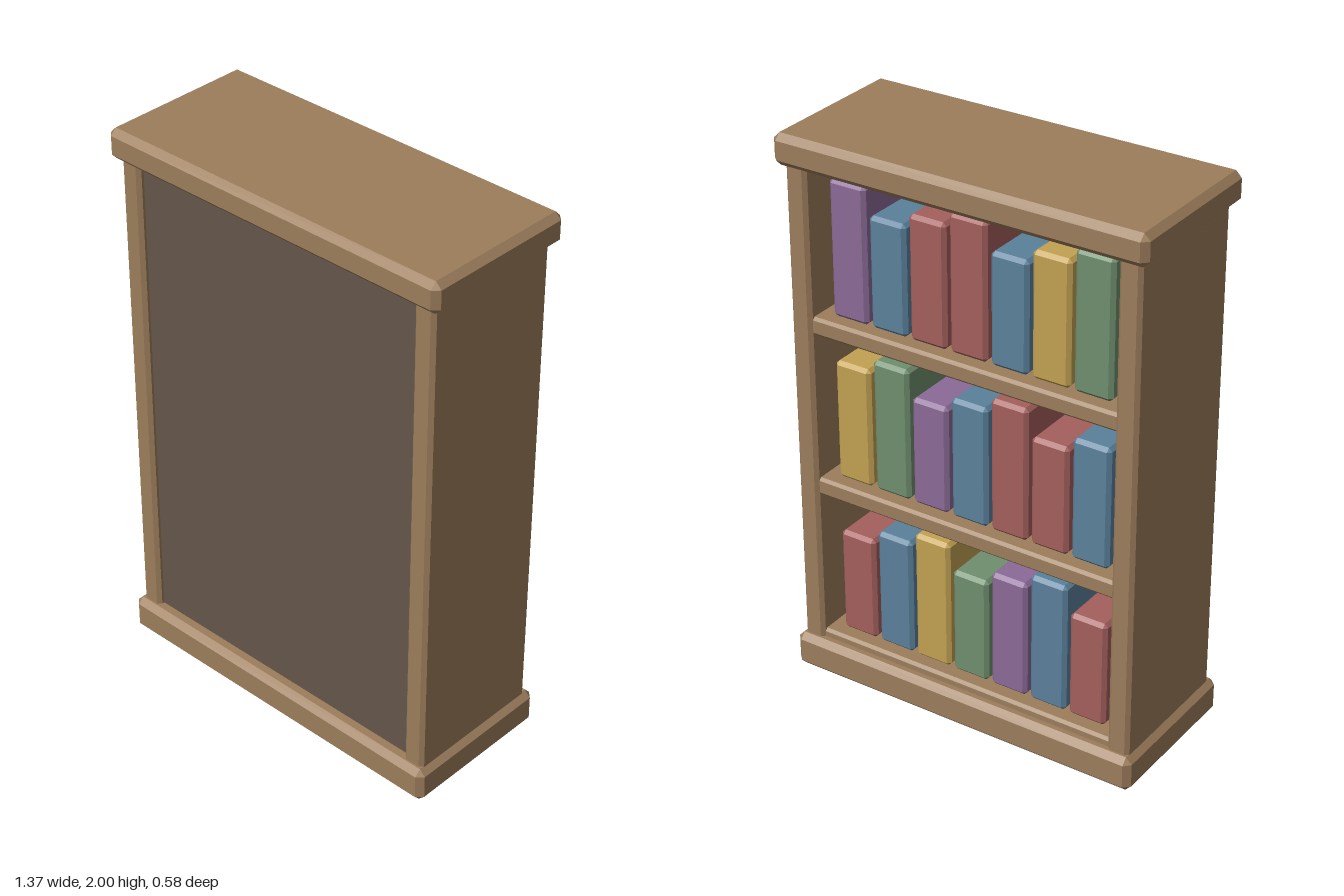
import * as THREE from 'three';
import { ConvexGeometry } from 'three/addons/geometries/ConvexGeometry.js';

const paint = (name, color) => {
  const m = new THREE.MeshStandardMaterial({ color });
  m.name = name;
  return m;
};

// box with flat chamfered edges, given by its min and max corners
function chamferBox(name, material, min, max, bevel) {
  const half = min.map((v, i) => (max[i] - v) / 2);
  const points = [];
  for (const sx of [-1, 1]) for (const sy of [-1, 1]) for (const sz of [-1, 1]) {
    for (let axis = 0; axis < 3; axis++) {
      const p = half.map((h, i) => (i === axis ? h : h - bevel));
      points.push(new THREE.Vector3(sx * p[0], sy * p[1], sz * p[2]));
    }
  }
  const mesh = new THREE.Mesh(new ConvexGeometry(points), material);
  mesh.position.set(...min.map((v, i) => (v + max[i]) / 2));
  mesh.name = name;
  return mesh;
}

export function createModel() {
  const model = new THREE.Group();
  model.name = 'bookcase';

  const wood = paint('wood', 0x9c7d5b);
  const darkWood = paint('dark wood', 0x64564a);
  const covers = {
    r: paint('red cover', 0xa35f5d),
    b: paint('blue cover', 0x5b819c),
    y: paint('yellow cover', 0xc2a152),
    g: paint('green cover', 0x6f8f6f),
    p: paint('purple cover', 0x8b6a97),
  };

  // plinth, cornice and side walls
  model.add(chamferBox('plinth', wood, [-0.675, 0, -0.29], [0.675, 0.13, 0.29], 0.022));
  model.add(chamferBox('cornice', wood, [-0.685, 1.89, -0.29], [0.685, 2, 0.29], 0.022));
  for (const [name, x] of [['leftSide', 0.615], ['rightSide', -0.615]]) {
    model.add(chamferBox(name, wood, [x - 0.04, 0.1, -0.262], [x + 0.04, 1.92, 0.262], 0.013));
  }

  // closing panel on the +z side
  const panel = new THREE.Mesh(new THREE.BoxGeometry(1.18, 1.82, 0.04), darkWood);
  panel.position.set(0, 1.01, 0.22);
  panel.name = 'panel';
  model.add(panel);

  // shelves open toward -z, each with seven books running from +x to -x
  const rows = [
    { floor: 0.16, books: 'rbygpbr', step: 0 },
    { floor: 0.765, books: 'ygpbrrb', step: 1 },
    { floor: 1.368, books: 'pbrrbyg', step: 2 },
  ];
  const pitch = 0.153;
  const width = 0.14;
  for (const { floor, books, step } of rows) {
    model.add(chamferBox('shelf', wood, [-0.585, floor - 0.065, -0.25], [0.585, floor, 0.205], 0.01));
    [...books].forEach((key, i) => {
      const x = (3 - i) * pitch;
      const height = 0.395 + 0.045 * ((i + step) % 3);
      model.add(chamferBox('book', covers[key],
        [x - width / 2, floor, -0.205], [x + width / 2, floor + height, 0.18], 0.013));
    });
  }
  return model;
}
